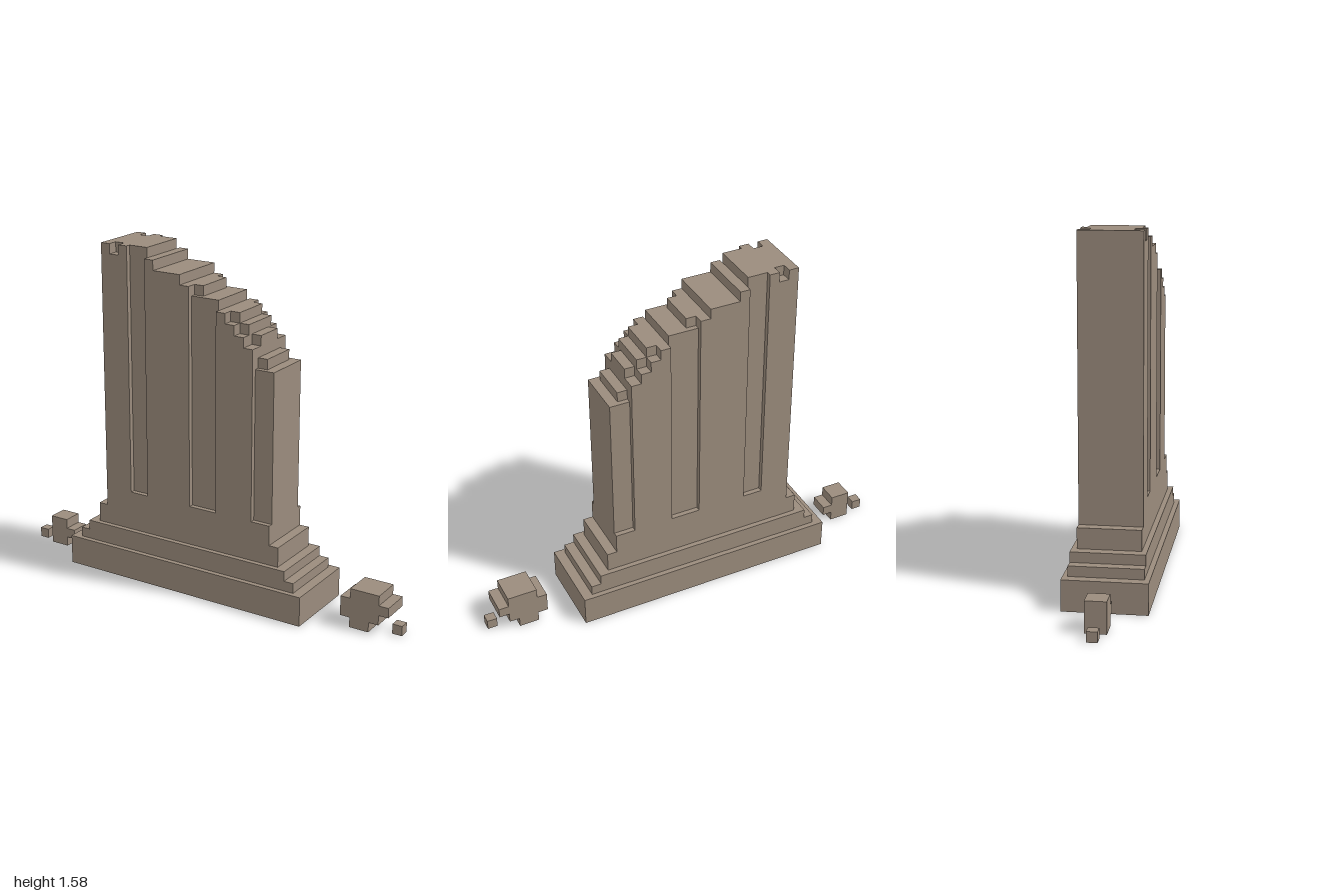
import * as THREE from 'three';

const U = 2 / 43; // one block

const stone = new THREE.MeshStandardMaterial({ color: 0x9b8c7d });
stone.name = 'weathered stone';

// Box from block indices: x0..x1 from the left end, y0..y1 from the ground, half depth d
function block(parent, name, x0, x1, y0, y1, d) {
  const mesh = new THREE.Mesh(
    new THREE.BoxGeometry((x1 - x0) * U, (y1 - y0) * U, 2 * d * U), stone);
  mesh.position.set(-1 + (x0 + x1) / 2 * U, (y0 + y1) / 2 * U, 0);
  mesh.name = name;
  parent.add(mesh);
}

function group(parent, name) {
  const g = new THREE.Group();
  g.name = name;
  parent.add(g);
  return g;
}

export function createModel() {
  const model = new THREE.Group();
  model.name = 'brokenPillar';

  // Stepped plinth
  const plinth = group(model, 'plinth');
  block(plinth, 'baseSlab', 7, 34, 0, 3, 4);
  block(plinth, 'lowerStep', 8, 33, 3, 4, 3.5);
  block(plinth, 'middleStep', 9, 32, 4, 5, 3.5);
  block(plinth, 'upperStep', 10, 31, 5, 7, 3);

  // Shaft: columns of [x0, x1, top, half depth, half depth of a chipped cap block]
  const shaft = group(model, 'shaft');
  block(shaft, 'shaftFoot', 11, 30, 7, 9, 3);
  const columns = [
    [11, 12, 34, 3], [12, 13, 33, 3, 2], [13, 14, 34, 3],
    [14, 16, 34, 2.5], // left flute
    [16, 17, 33, 3], [17, 20, 32, 3], [20, 21, 31, 3],
    [21, 22, 30, 2.5, 2], [22, 24, 30, 2.5], // middle flute
    [24, 25, 29, 3], [25, 26, 28, 3, 2], [26, 27, 27, 3, 2], [27, 28, 26, 3, 1.5],
    [28, 29, 24, 2.5, 2], [29, 30, 24, 2.5], // right flute
  ];
  for (const [x0, x1, top, depth, cap] of columns) {
    block(shaft, depth < 3 ? 'flute' : 'shaftColumn', x0, x1, 9, top, depth);
    if (cap) block(shaft, 'chippedCap', x0, x1, top, top + 1, cap);
  }

  // Fallen rubble on the left end
  const smallRubble = group(model, 'smallRubble');
  block(smallRubble, 'pebble', 0, 1, 0, 1, 0.5);
  block(smallRubble, 'stoneBody', 2, 4, 0, 3, 1);
  block(smallRubble, 'stoneKnob', 4, 5, 1, 2, 1);

  // Fallen rubble on the right end
  const largeRubble = group(model, 'largeRubble');
  block(largeRubble, 'boulderFoot', 38, 40, 0, 1, 1.5);
  block(largeRubble, 'boulderLower', 37, 41, 1, 2, 1.5);
  block(largeRubble, 'boulderMiddle', 37, 42, 2, 3, 1.5);
  block(largeRubble, 'boulderTop', 38, 41, 3, 4, 1.5);
  block(largeRubble, 'pebble', 42, 43, 0, 1, 0.5);

  return model;
}
